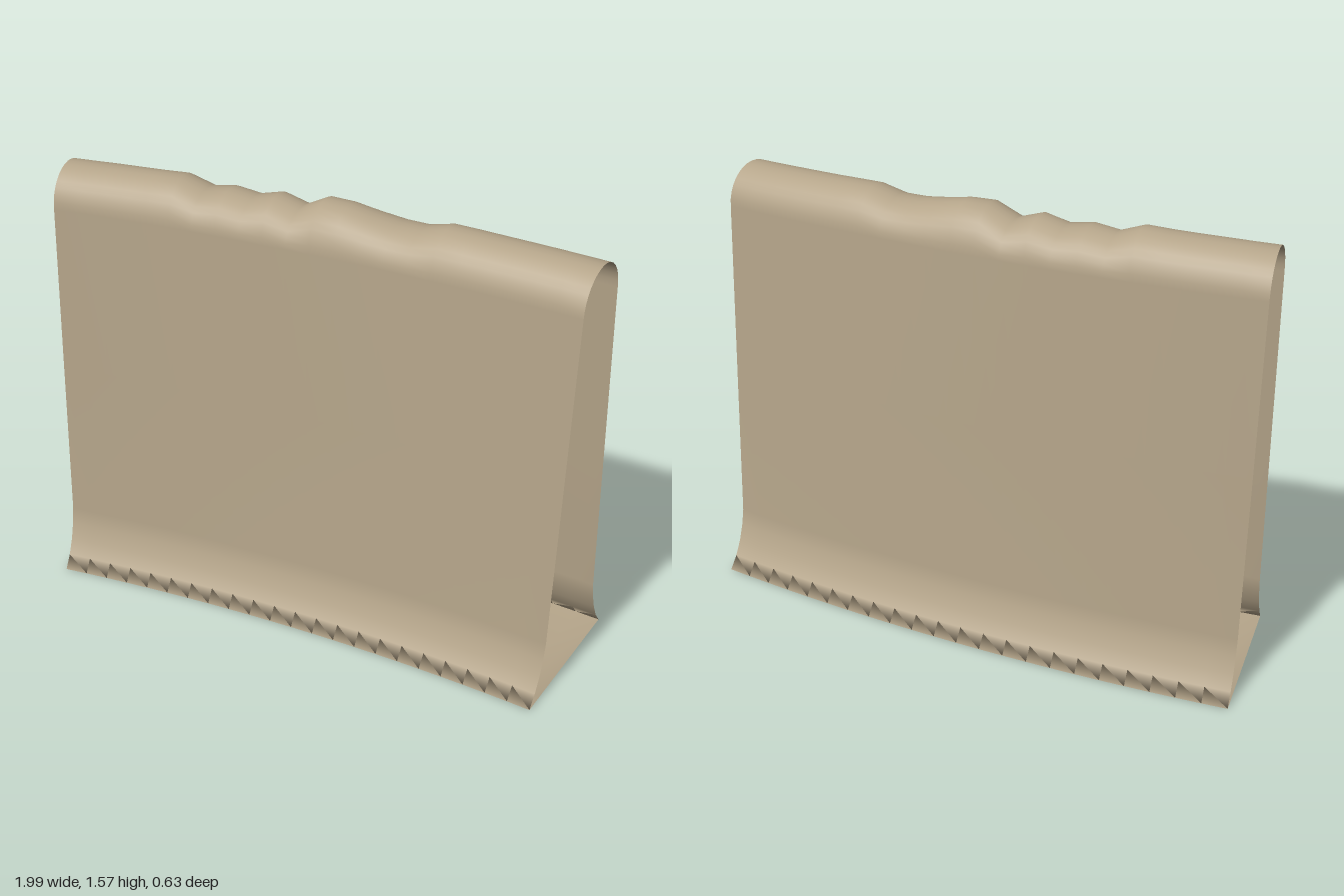
import * as THREE from 'three';

// Curved wall section: a tapered profile with flared feet and a rounded crest, swept along a shallow arc
const RADIUS = 8.51, CENTRE_Z = 8.48, HALF_ANGLE = 6.5 * Math.PI / 180, STEPS = 22;
const CAP_R = 0.13, CAP_Y = 1.425, CAP_SEGS = 16;
// Height offsets of the worn crest, one per arc step
const CREST = [0, 0.001, 0.003, 0.004, 0.006, 0.01, -0.023, -0.009, -0.024, 0, -0.03,
  0.016, 0.013, -0.003, -0.015, -0.016, 0.007, 0.006, 0.004, 0.003, 0.002, 0.001, 0];

// Profile points: s = offset to the front, y = height, w = share of the crest wear
function makeProfile() {
  const side = [[0.29, 0], [0.255, 0.045], [0.227, 0.1], [0.207, 0.16], [0.195, 0.22], [0.163, 0.82]];
  const front = side.map(([s, y]) => ({ s, y, w: 0 }));
  const cap = [];
  for (let k = 0; k <= CAP_SEGS; k++) {
    const a = Math.PI * k / CAP_SEGS;
    cap.push({ s: CAP_R * Math.cos(a), y: CAP_Y + CAP_R * Math.sin(a), w: Math.sin(a) });
  }
  const back = front.map(p => ({ ...p, s: -p.s })).reverse();
  return [...front, ...cap, ...back];
}

export function createModel() {
  const group = new THREE.Group();
  const profile = makeProfile(), n = profile.length;
  const positions = [], indices = [];

  for (let i = 0; i <= STEPS; i++) {
    const a = HALF_ANGLE * (2 * i / STEPS - 1);
    for (const p of profile) {
      const r = RADIUS - p.s;
      positions.push(r * Math.sin(a), p.y + CREST[i] * p.w, CENTRE_Z - r * Math.cos(a));
    }
  }
  // Closed loop: the last span joins the two feet as the underside; the ends stay open
  for (let i = 0; i < STEPS; i++) {
    for (let j = 0; j < n; j++) {
      const k = (j + 1) % n;
      const a = i * n + j, b = i * n + k, c = a + n, d = b + n;
      indices.push(a, c, b, b, c, d);
    }
  }

  const geometry = new THREE.BufferGeometry();
  geometry.setAttribute('position', new THREE.Float32BufferAttribute(positions, 3));
  geometry.setIndex(indices);
  geometry.computeVertexNormals();

  const wall = new THREE.Mesh(geometry, new THREE.MeshStandardMaterial({ color: 0xb5a58a, side: THREE.DoubleSide }));
  wall.name = 'curvedWall';
  group.add(wall);
  return group;
}
